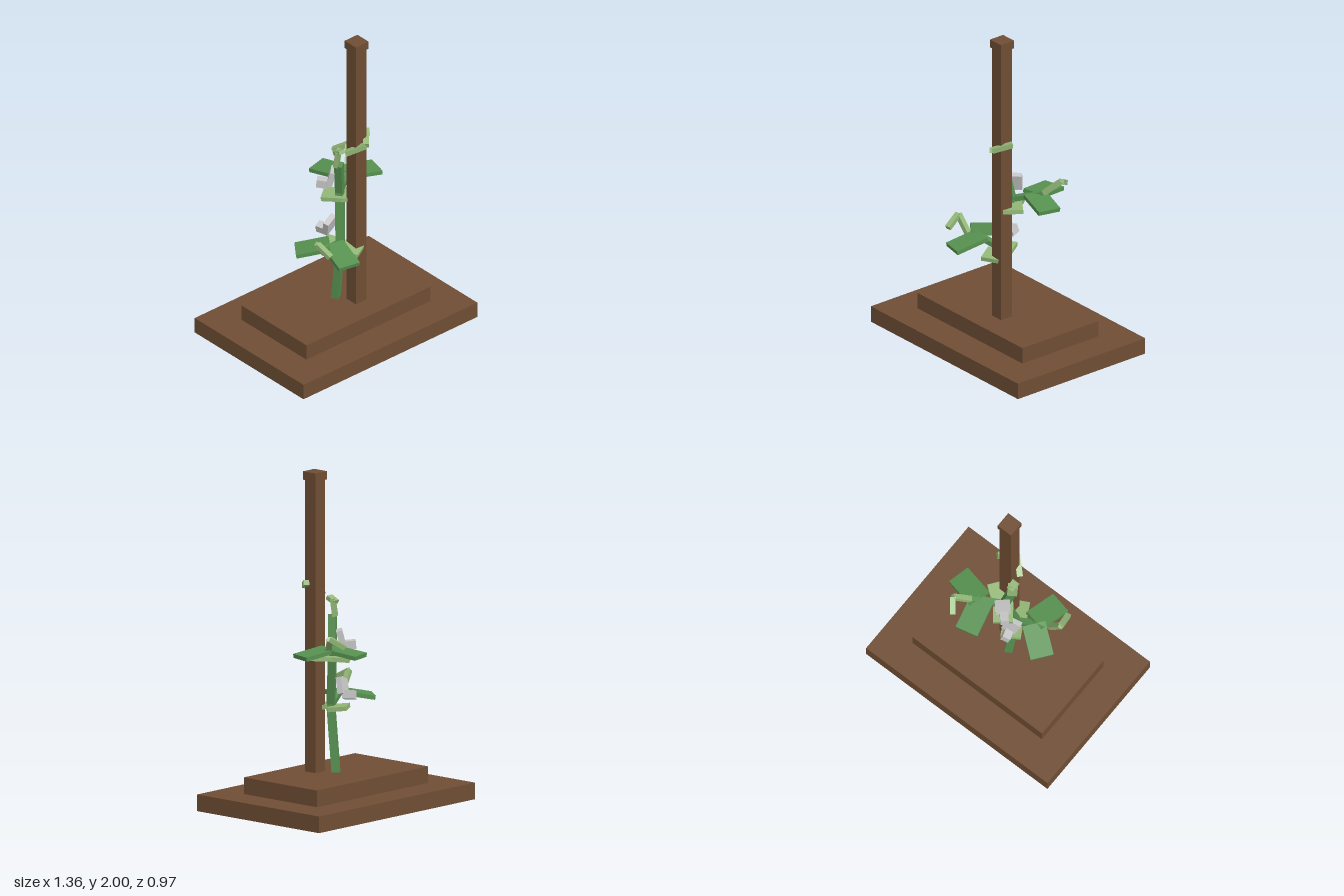
import * as THREE from 'three';

const material = (name, color) => {
  const m = new THREE.MeshStandardMaterial({ color });
  m.name = name;
  return m;
};

export function createModel() {
  const wood = material('brown wood', 0x704e34);
  const leafGreen = material('leaf green', 0x579150);
  const paleGreen = material('pale green', 0x93b878);
  const petal = material('pale grey petal', 0xc6c6c6);

  const model = new THREE.Group();
  model.name = 'climbingPlant';

  // Axis-aligned or rotated block
  const block = (parent, name, mat, size, pos, rot = [0, 0, 0]) => {
    const mesh = new THREE.Mesh(new THREE.BoxGeometry(...size), mat);
    mesh.name = name;
    mesh.position.set(...pos);
    mesh.rotation.set(...rot, 'YXZ');
    parent.add(mesh);
    return mesh;
  };

  // Block running from point a to point b, with its broad face turned upwards
  const bar = (parent, name, mat, a, b, width, thick, up = [0, 1, 0]) => {
    const start = new THREE.Vector3(...a), end = new THREE.Vector3(...b);
    const along = end.clone().sub(start);
    const length = along.length();
    along.normalize();
    const side = new THREE.Vector3(...up).cross(along).normalize();
    const normal = along.clone().cross(side);
    const mesh = new THREE.Mesh(new THREE.BoxGeometry(width, thick, length), mat);
    mesh.name = name;
    mesh.quaternion.setFromRotationMatrix(new THREE.Matrix4().makeBasis(side, normal, along));
    mesh.position.copy(start).add(end).multiplyScalar(0.5);
    parent.add(mesh);
    return mesh;
  };

  const group = (name) => {
    const g = new THREE.Group();
    g.name = name;
    model.add(g);
    return g;
  };

  // Stepped base and stake
  const stand = group('stand');
  block(stand, 'basePlate', wood, [1.36, 0.1, 0.97], [0, 0.05, 0]);
  block(stand, 'baseStep', wood, [0.97, 0.1, 0.58], [0, 0.15, 0]);
  block(stand, 'stake', wood, [0.084, 1.75, 0.084], [0.07, 1.075, 0.104]);
  block(stand, 'stakeCap', wood, [0.1, 0.05, 0.1], [0.07, 1.975, 0.104]);

  // Zigzag stem
  const stem = group('stem');
  const nodes = [[-0.003, 0.19, 0.002], [-0.015, 0.6, 0.055], [0.03, 0.92, 0], [-0.008, 1.14, 0.035]];
  for (let i = 0; i < 3; i++) {
    bar(stem, 'stemSegment', leafGreen, nodes[i], nodes[i + 1], 0.048, 0.045, [0.5, 0, 0.85]);
  }

  // Young shoot at the tip
  const shoot = group('shoot');
  bar(shoot, 'shootLeaf', paleGreen, [-0.015, 1.13, 0.02], [-0.01, 1.235, 0.035], 0.06, 0.028, [0.57, 0, 0.82]);
  bar(shoot, 'shootTip', paleGreen, [-0.01, 1.215, 0.01], [-0.01, 1.24, 0.065], 0.045, 0.025);

  // Leaf branches: stalk, two broad leaflets and a bent tendril
  const branches = [
    {
      name: 'lowerBranch',
      stalk: [[-0.015, 0.6, 0.05], [-0.15, 0.65, 0.11]],
      leaves: [[[-0.125, 0.658, 0.085], [-0.285, 0.62, -0.037]], [[-0.115, 0.658, 0.1], [-0.157, 0.612, 0.298]]],
      tendril: [[-0.13, 0.645, 0.115], [-0.205, 0.645, 0.135], [-0.277, 0.75, 0.15], [-0.258, 0.695, 0.245]],
    },
    {
      name: 'upperBranch',
      stalk: [[0.03, 0.92, 0], [0.16, 0.965, -0.085]],
      leaves: [[[0.137, 0.968, -0.075], [0.09, 0.942, -0.28]], [[0.15, 0.968, -0.078], [0.347, 0.94, -0.03]]],
      tendril: [[0.14, 0.965, -0.075], [0.19, 0.98, -0.115], [0.262, 1.06, -0.19], [0.207, 1.01, -0.263]],
    },
  ];
  for (const { name, stalk, leaves, tendril } of branches) {
    const g = group(name);
    bar(g, 'stalk', leafGreen, ...stalk, 0.04, 0.03);
    for (const [a, b] of leaves) bar(g, 'leaf', leafGreen, a, b, 0.14, 0.025);
    bar(g, 'tendrilStalk', leafGreen, tendril[0], tendril[1], 0.03, 0.025);
    for (let i = 1; i < 3; i++) bar(g, 'tendril', paleGreen, tendril[i], tendril[i + 1], 0.033, 0.028);
  }

  // Pale leaf pairs clasping the stem
  const collars = group('collarLeaves');
  for (const [a, b] of [
    [[-0.01, 0.59, 0.07], [0.045, 0.572, 0.17]],
    [[0.0, 0.575, 0.05], [-0.055, 0.588, -0.045]],
    [[0.035, 0.89, 0.0], [0.15, 0.9, 0.085]],
    [[0.045, 0.892, 0.01], [-0.03, 0.885, -0.085]],
  ]) bar(collars, 'collarLeaf', paleGreen, a, b, 0.12, 0.026);

  // Flowers: upright back petal and small keel
  for (const [name, back, keel, turn, roll] of [
    ['lowerFlower', [-0.04, 0.71, -0.015], [-0.045, 0.665, -0.065], 0.35, 0.3],
    ['upperFlower', [0.005, 1.01, -0.045], [-0.035, 0.97, -0.08], 0.75, 0],
  ]) {
    const g = group(name);
    block(g, 'backPetal', petal, [0.09, 0.1, 0.035], back, [0.25, turn, roll]);
    block(g, 'keel', petal, [0.05, 0.05, 0.07], keel, [0.1, turn, roll]);
  }

  // Tendril curling round the stake
  const curl = group('topTendril');
  const path = [[-0.01, 1.25, 0.1], [0.075, 1.305, 0.18], [0.155, 1.345, 0.095]];
  for (let i = 0; i < 2; i++) bar(curl, 'curl', paleGreen, path[i], path[i + 1], 0.035, 0.03);

  return model;
}
